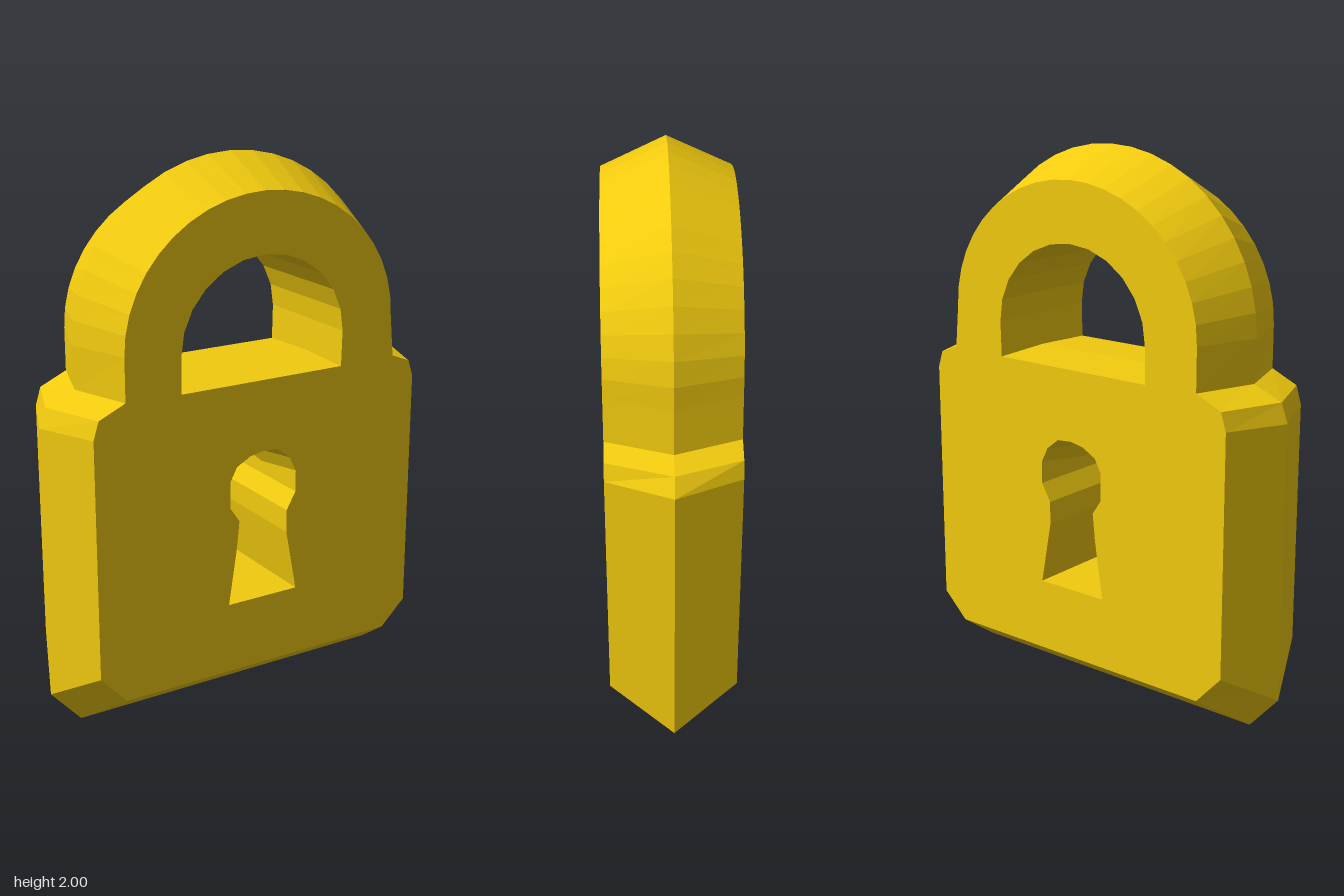
import * as THREE from 'three';

const DEPTH = 0.225; // half thickness

// Points along an elliptical arch centred on x = 0, between two angles in degrees
function arch(rx, ry, cy, from, to, n) {
  return Array.from({ length: n + 1 }, (_, i) => {
    const a = THREE.MathUtils.degToRad(from + ((to - from) * i) / n);
    return [rx * Math.cos(a), cy + ry * Math.sin(a)];
  });
}

// Wall running from the back ring through the middle ring to the front ring
function wall(face, middle) {
  const rings = [[face, -DEPTH], [middle, 0], [face, DEPTH]];
  const n = face.length;
  const pos = [];
  const index = [];
  for (const [ring, z] of rings) for (const [x, y] of ring) pos.push(x, y, z);
  for (let r = 0; r < 2; r++) {
    for (let i = 0; i < n; i++) {
      const a = r * n + i;
      const b = r * n + ((i + 1) % n);
      index.push(a, b, a + n, b, b + n, a + n);
    }
  }
  const g = new THREE.BufferGeometry();
  g.setAttribute('position', new THREE.Float32BufferAttribute(pos, 3));
  g.setIndex(index);
  g.computeVertexNormals();
  return g;
}

// Flat face with its holes; side is 1 for the front and -1 for the back
function cap(outline, holes, side) {
  const pts = (list) => list.map(([x, y]) => new THREE.Vector2(x * side, y));
  const shape = new THREE.Shape(pts(outline));
  for (const h of holes) shape.holes.push(new THREE.Path(pts(h)));
  const g = new THREE.ShapeGeometry(shape);
  g.translate(0, 0, DEPTH);
  if (side < 0) g.rotateY(Math.PI);
  return g;
}

export function createModel() {
  const group = new THREE.Group();
  group.name = 'padlock';
  const gold = new THREE.MeshStandardMaterial({ color: 0xf2cb0e, flatShading: true });

  // Outer outline of the flat faces, counter-clockwise
  const face = [
    [-0.56, 0.155], [0.55, 0.155], [0.65, 0.25], [0.65, 1.155], [0.63, 1.215], [0.555, 1.245],
    ...arch(0.54, 0.495, 1.4, 0, 180, 22),
    [-0.54, 1.245], [-0.64, 1.2], [-0.66, 1.135], [-0.66, 0.265],
  ];
  // Wider outline along the middle ridge, point for point
  const ridge = [
    [-0.635, 0], [0.63, 0], [0.75, 0.11], [0.75, 1.155], [0.71, 1.215], [0.635, 1.245],
    ...arch(0.62, 0.6, 1.4, 0, 180, 22),
    [-0.615, 1.245], [-0.725, 1.2], [-0.75, 1.13], [-0.75, 0.13],
  ];

  // Openings, clockwise
  const shackleHole = [[-0.33, 1.24], ...arch(0.328, 0.31, 1.37, 180, 0, 12), [0.325, 1.24]];
  const shackleMiddle = shackleHole.map(([x, y]) => [x, y < 1.3 ? y + 0.008 : y]);
  const keyhole = [
    [-0.143, 0.42], [-0.11, 0.635], [-0.1, 0.735], [-0.137, 0.79], [-0.137, 0.89],
    [-0.11, 0.94], [-0.055, 0.97], [0, 0.98], [0.06, 0.975], [0.11, 0.935],
    [0.137, 0.88], [0.137, 0.8], [0.1, 0.735], [0.1, 0.65], [0.143, 0.42],
  ];
  const keyholeMiddle = keyhole.map(([x, y]) => [x, y > 0.85 ? y - 0.033 : y]);

  const parts = {
    frontFace: cap(face, [shackleHole, keyhole], 1),
    backFace: cap(face, [shackleHole, keyhole], -1),
    bevelledRim: wall(face, ridge),
    shackleOpening: wall(shackleHole, shackleMiddle),
    keyholeOpening: wall(keyhole, keyholeMiddle),
  };
  for (const [name, geometry] of Object.entries(parts)) {
    const mesh = new THREE.Mesh(geometry, gold);
    mesh.name = name;
    group.add(mesh);
  }
  return group;
}
